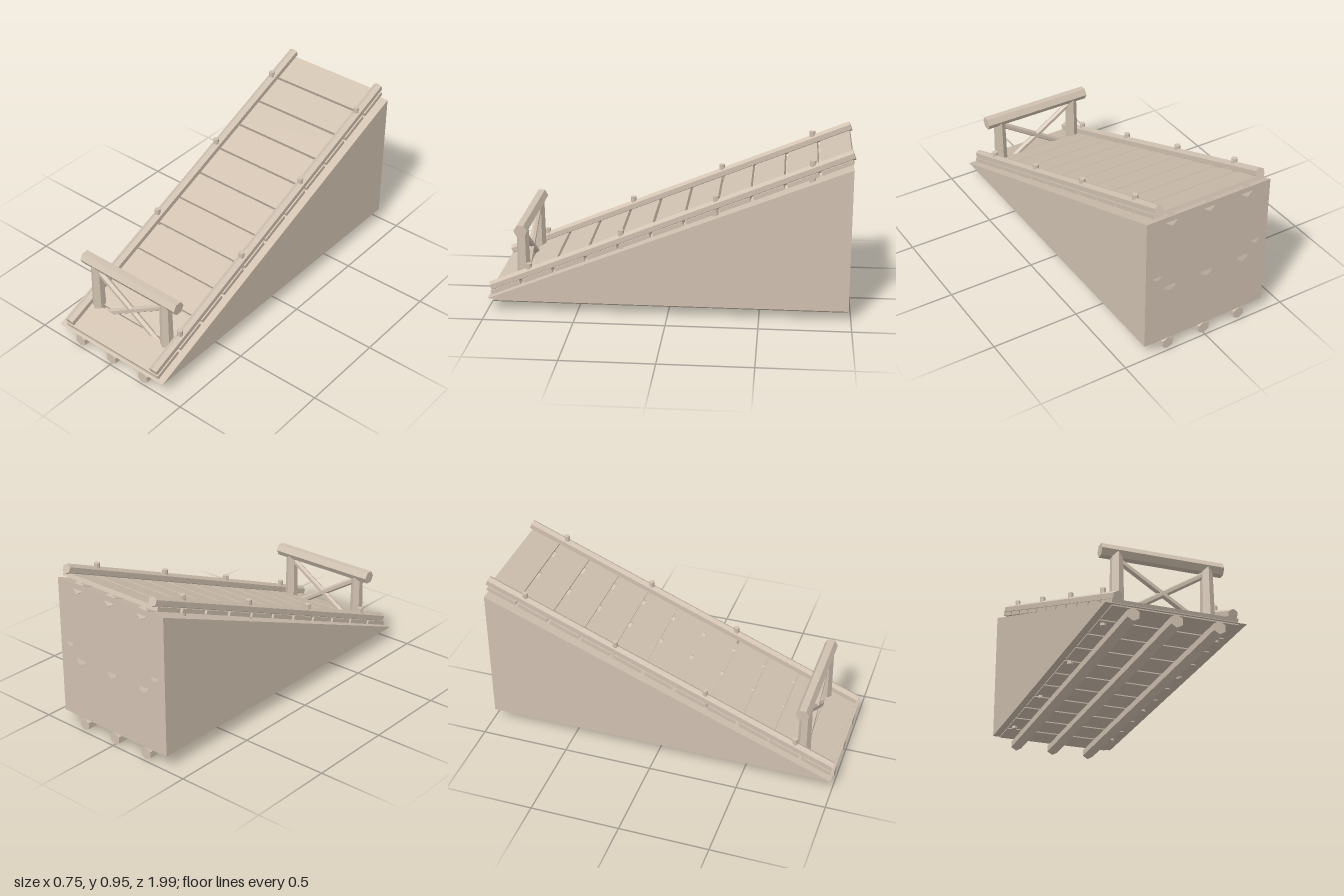
import * as THREE from 'three';

export function createModel() {
  const model = new THREE.Group();
  const wood = new THREE.MeshStandardMaterial({ color: 0xd0c1b0, flatShading: true });
  wood.name = 'paleWood';

  const add = (geometry, name, x = 0, y = 0, z = 0) => {
    const mesh = new THREE.Mesh(geometry, wood);
    mesh.name = name;
    mesh.position.set(x, y, z);
    model.add(mesh);
    return mesh;
  };

  // Six-sided log between two points; roll turns it about its own axis
  const log = (name, a, b, radius, roll = 0) => {
    const p = new THREE.Vector3(...a), q = new THREE.Vector3(...b);
    const g = new THREE.CylinderGeometry(radius, radius, p.distanceTo(q), 6);
    g.rotateX(Math.PI / 2).rotateZ(roll);
    const mesh = add(g, name);
    mesh.position.copy(p).add(q).multiplyScalar(0.5);
    mesh.lookAt(q);
    return mesh;
  };

  // Height of the deck's top face at a given z
  const slope = 0.407;
  const angle = Math.atan(slope);
  const deckY = (z) => 0.505 - slope * z;

  // Solid wedge
  const side = new THREE.Shape();
  side.moveTo(0.995, 0.075);
  side.lineTo(-0.985, 0.86);
  side.lineTo(-0.985, 0.075);
  const wedge = new THREE.ExtrudeGeometry(side, { depth: 0.75, bevelEnabled: false });
  wedge.rotateY(-Math.PI / 2).translate(0.375, 0, 0);
  add(wedge, 'wedge');

  // Deck planks on the slope and floor planks below, with narrow gaps
  for (let i = 0; i < 11; i++) {
    const z = -0.9 + i * 0.18;
    const length = 0.163;
    const plank = add(new THREE.BoxGeometry(0.67, 0.023, length / Math.cos(angle)), 'deckPlank',
      0, deckY(z) - 0.0125, z);
    plank.rotation.x = angle;
    add(new THREE.BoxGeometry(0.67, 0.016, length), 'floorPlank', 0, 0.077, z);
  }

  // Logs under the floor, under the deck and at mid height
  for (const x of [-0.228, 0, 0.228]) {
    log('floorLog', [x, 0.036, 0.99], [x, 0.036, -0.985], 0.036);
    log('deckLog', [x, deckY(0.8) - 0.062, 0.8], [x, deckY(-0.98) - 0.062, -0.98], 0.036);
    log('middleLog', [x, 0.37, -0.7], [x, 0.43, -0.984], 0.036);
  }

  for (const s of [-1, 1]) {
    const x = s * 0.305;
    // Sloping side rail
    log('sideRail', [x, 0.122, 0.986], [x, 0.926, -0.985], 0.028);
    log('middleRail', [x, 0.45, -0.7], [x, 0.51, -0.984], 0.028);
    // Pegs through the rails and the floor
    for (const z of [-0.77, -0.257, 0.257, 0.77]) {
      add(new THREE.CylinderGeometry(0.016, 0.016, 0.12, 8), 'railPeg', x, deckY(z) + 0.011, z);
      add(new THREE.CylinderGeometry(0.016, 0.016, 0.035, 8), 'floorPeg', x, 0.072, z);
    }
    // Barrier post and diagonal brace
    add(new THREE.CylinderGeometry(0.033, 0.038, 0.3, 6), 'barrierPost', s * 0.247, 0.3, 0.81);
    log('barrierBrace', [s * 0.235, 0.412, 0.81], [-s * 0.2, 0.135, 0.81], 0.018);
  }

  // Barrier top bar
  log('barrierBar', [-0.335, 0.456, 0.807], [0.335, 0.456, 0.807], 0.038, Math.PI / 6);

  return model;
}
